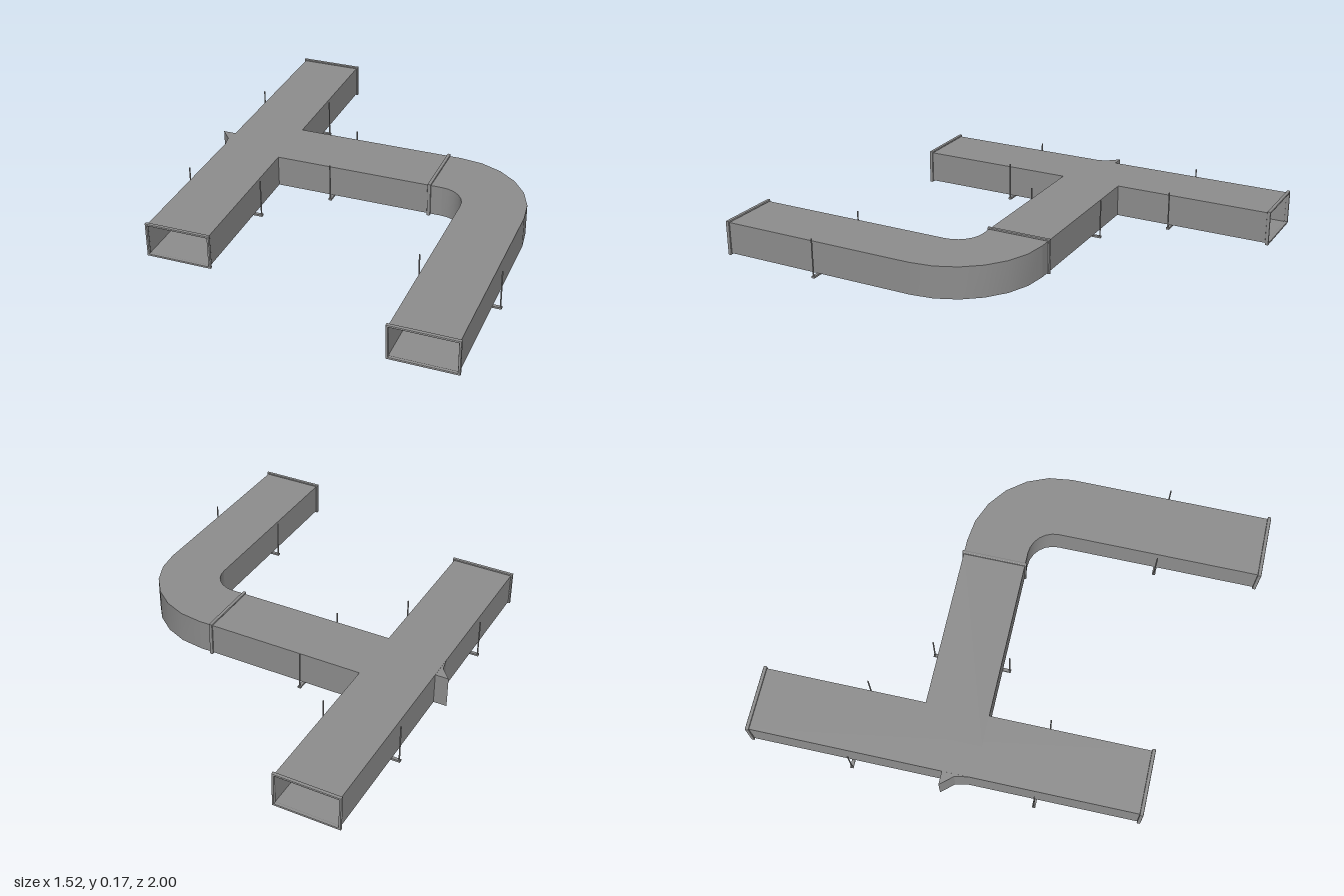
import * as THREE from 'three';

const W = 0.274, Y0 = 0.01, Y1 = 0.15;
const sheet = new THREE.MeshStandardMaterial({ color: 0x8d8d8d, side: THREE.DoubleSide });
const solid = new THREE.MeshStandardMaterial({ color: 0x8d8d8d });

// Open rectangular tube swept along centre points [x, z, dirX, dirZ]
function ductGeometry(path) {
  const pos = [], index = [];
  const h = W / 2;
  const corners = [[-h, Y0], [-h, Y1], [h, Y1], [h, Y0]];
  for (let k = 0; k < 4; k++) {
    const base = pos.length / 3;
    path.forEach(([x, z, dx, dz], i) => {
      for (const [o, y] of [corners[k], corners[(k + 1) % 4]]) pos.push(x - dz * o, y, z + dx * o);
      if (i) {
        const a = base + (i - 1) * 2;
        index.push(a, a + 2, a + 1, a + 1, a + 2, a + 3);
      }
    });
  }
  const g = new THREE.BufferGeometry();
  g.setAttribute('position', new THREE.Float32BufferAttribute(pos, 3));
  g.setIndex(index);
  g.computeVertexNormals();
  return g;
}

// Rectangular frame with rounded rims around a duct end, facing along z
function flangeGeometry() {
  const rect = (s, w, h) => {
    s.moveTo(-w, -h); s.lineTo(w, -h); s.lineTo(w, h); s.lineTo(-w, h); s.closePath();
    return s;
  };
  const hh = (Y1 - Y0) / 2;
  const s = rect(new THREE.Shape(), W / 2 + 0.003, hh + 0.003);
  s.holes.push(rect(new THREE.Path(), W / 2 + 0.001, hh + 0.001));
  const g = new THREE.ExtrudeGeometry(s, {
    depth: 0.008, bevelEnabled: true, bevelThickness: 0.004, bevelSize: 0.004, bevelSegments: 2,
  });
  return g.translate(0, (Y0 + Y1) / 2, -0.004);
}

// Trapeze hanger: bar under the duct with a rod at each end
function hanger() {
  const g = new THREE.Group();
  const bar = new THREE.Mesh(new THREE.BoxGeometry(0.345, 0.008, 0.014), solid);
  bar.position.y = 0.005;
  bar.name = 'hangerBar';
  g.add(bar);
  for (const side of [-1, 1]) {
    const rod = new THREE.Mesh(new THREE.CylinderGeometry(0.003, 0.003, 0.173, 12), solid);
    rod.position.set(side * 0.167, 0.0875, 0);
    rod.name = 'hangerRod';
    g.add(rod);
  }
  return g;
}

export function createModel() {
  const root = new THREE.Group();
  const add = (name, obj, x = 0, z = 0, turn = 0) => {
    obj.name = name;
    obj.position.set(x, 0, z);
    obj.rotation.y = turn;
    root.add(obj);
  };
  const mainX = -0.565, branchZ = -0.153, legX = 0.585;

  // Ducts
  const duct = (name, path) => add(name, new THREE.Mesh(ductGeometry(path), sheet));
  duct('mainDuct', [[mainX, -0.995, 0, 1], [mainX, 0.69, 0, 1]]);
  duct('branchDuct', [[mainX, branchZ, 1, 0], [0.275, branchZ, 1, 0]]);
  duct('elbowCollar', [[0.275, branchZ, 1, 0], [0.332, branchZ, 1, 0]]);
  const bend = [];
  for (let i = 0; i <= 6; i++) {
    const a = i / 6 * Math.PI / 2, c = Math.cos(a), s = Math.sin(a);
    bend.push([0.332 + 0.253 * s, 0.1 - 0.253 * c, c, s]);
  }
  duct('elbow', bend);
  duct('legDuct', [[legX, 0.1, 0, 1], [legX, 0.995, 0, 1]]);

  // Curved shoe on the outer side of the junction
  const shoe = new THREE.Shape();
  shoe.moveTo(-0.76, 0.155);
  shoe.lineTo(-0.713, 0.1);
  shoe.lineTo(-0.702, 0.045);
  shoe.lineTo(-0.697, 0.045);
  shoe.lineTo(-0.697, 0.155);
  shoe.closePath();
  const shoeGeo = new THREE.ExtrudeGeometry(shoe, { depth: Y1 - Y0 - 0.002, bevelEnabled: false });
  shoeGeo.rotateX(-Math.PI / 2).translate(0, Y0 + 0.001, 0);
  add('junctionShoe', new THREE.Mesh(shoeGeo, solid));

  // Flanges at the open ends and the elbow joint
  const fg = flangeGeometry();
  add('mainBackFlange', new THREE.Mesh(fg, solid), mainX, -0.992);
  add('mainFrontFlange', new THREE.Mesh(fg, solid), mainX, 0.686);
  add('legFlange', new THREE.Mesh(fg, solid), legX, 0.992);
  add('elbowFlange', new THREE.Mesh(fg, solid), 0.275, branchZ, Math.PI / 2);

  // Hangers
  add('mainBackHanger', hanger(), mainX, -0.547);
  add('mainFrontHanger', hanger(), mainX, 0.243);
  add('branchHanger', hanger(), -0.17, branchZ, Math.PI / 2);
  add('legHanger', hanger(), legX, 0.543);
  return root;
}
